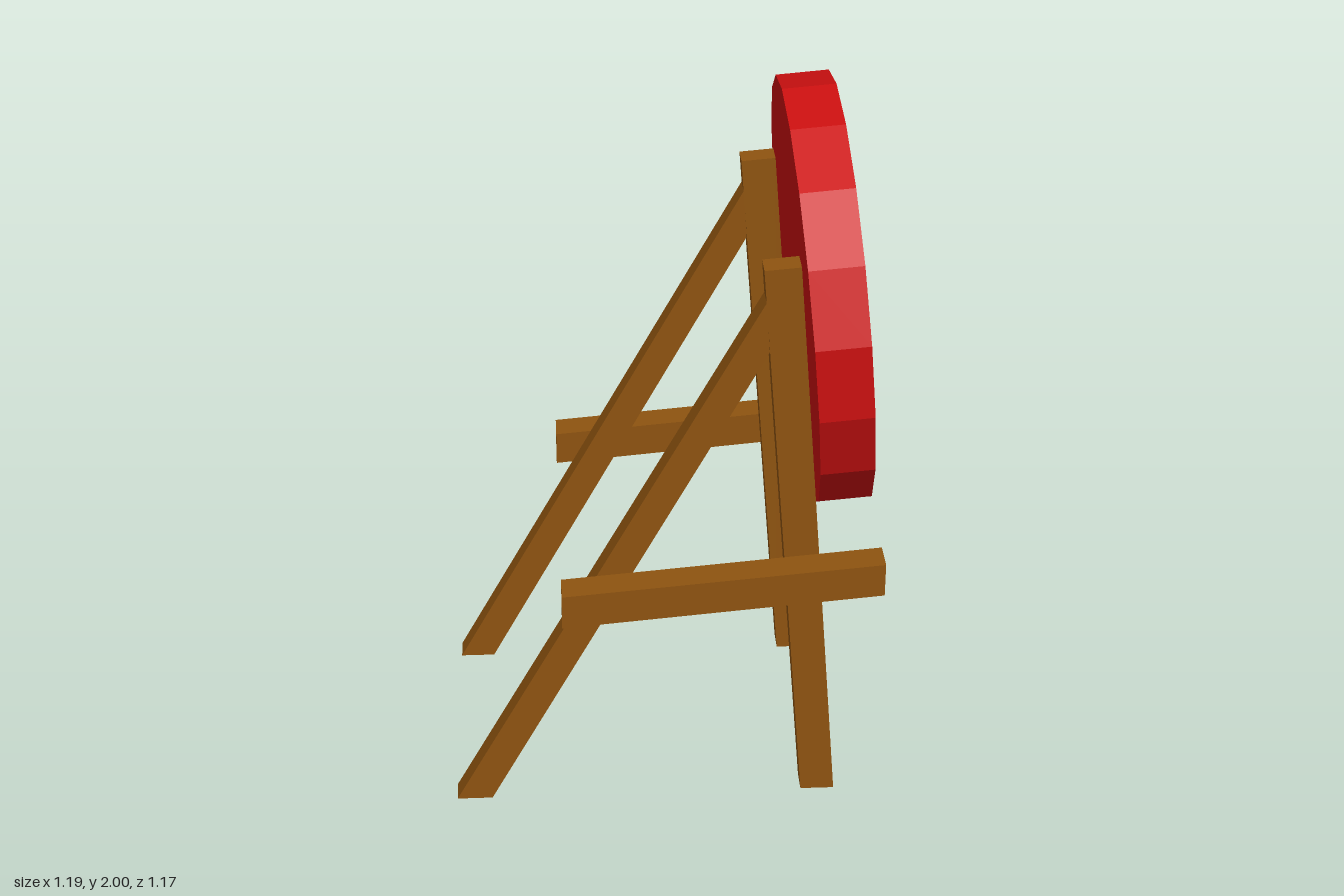
import * as THREE from 'three';

const material = (color) => new THREE.MeshStandardMaterial({ color, flatShading: true });

export function createModel() {
  const group = new THREE.Group();
  group.name = 'archeryTarget';
  const wood = material(0x8f5410);
  const red = material(0xcc1010);
  const pale = material(0xcccccc);

  const add = (parent, name, geometry, mat) => {
    const mesh = new THREE.Mesh(geometry, mat);
    mesh.name = name;
    parent.add(mesh);
    return mesh;
  };

  // Timber: side outline in x/y, extruded along z
  const beam = (name, outline, zMin, zMax) => {
    const shape = new THREE.Shape(outline.map(([x, y]) => new THREE.Vector2(x, y)));
    const geometry = new THREE.ExtrudeGeometry(shape, { depth: zMax - zMin, bevelEnabled: false });
    geometry.translate(0, 0, zMin);
    add(group, name, geometry, wood);
  };

  const frontLeg = [[0.392, 0], [0.487, 0], [0.352, 1.653], [0.255, 1.645]];
  const rearLeg = [[-0.595, 0], [-0.495, 0], [0.274, 1.41], [0.263, 1.553]];
  const brace = [[-0.286, 0.635], [0.593, 0.713], [0.593, 0.81], [-0.286, 0.734]];

  // Two mirrored side frames
  for (const [side, s] of [['left', 1], ['right', -1]]) {
    const span = (a, b) => (s > 0 ? [a, b] : [-b, -a]);
    beam(`${side}FrontLeg`, frontLeg, ...span(0.335, 0.407));
    beam(`${side}RearLeg`, rearLeg, ...span(0.335, 0.407));
    beam(`${side}Brace`, brace, ...span(0.417, 0.509));
  }

  // Round target, built with its axis along +z, then turned to +x and leaned back
  const SIDES = 18, RADIUS = 0.595, DEPTH = 0.146;
  const target = new THREE.Group();
  target.name = 'target';

  const rim = new THREE.CylinderGeometry(RADIUS, RADIUS, DEPTH, SIDES, 1, true);
  rim.rotateX(Math.PI / 2);
  // put a corner at the top, matching the rings
  rim.rotateZ(Math.PI);
  add(target, 'rim', rim, red);

  const back = new THREE.CircleGeometry(RADIUS, SIDES, Math.PI / 2);
  back.rotateY(Math.PI);
  back.translate(0, 0, -DEPTH / 2);
  add(target, 'back', back, red);

  // Alternating coloured rings on the face
  const radii = [RADIUS, 0.463, 0.37, 0.306, 0.207, 0.106, 0];
  for (let i = 0; i < radii.length - 1; i++) {
    const ring = radii[i + 1] > 0
      ? new THREE.RingGeometry(radii[i + 1], radii[i], SIDES, 1, Math.PI / 2)
      : new THREE.CircleGeometry(radii[i], SIDES, Math.PI / 2);
    ring.translate(0, 0, DEPTH / 2);
    add(target, i === 5 ? 'bullseye' : `ring${i + 1}`, ring, i % 2 ? pale : red);
  }

  target.rotation.set(0, Math.PI / 2, 0);
  const lean = new THREE.Group();
  lean.name = 'leaningTarget';
  lean.add(target);
  lean.rotation.z = 0.084;
  lean.position.set(0.453, 1.401, 0);
  group.add(lean);

  return group;
}
